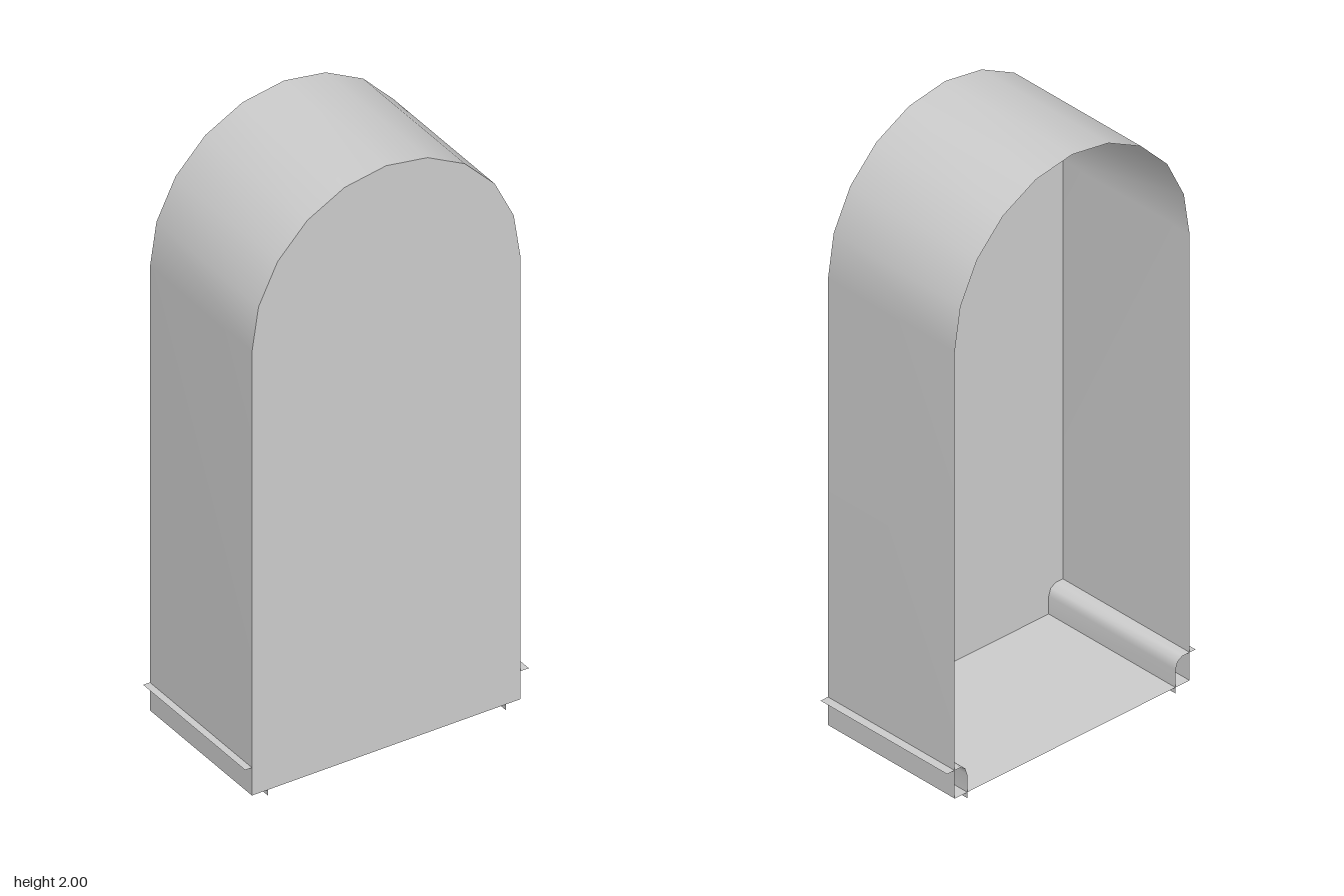
import * as THREE from 'three';

const DEPTH = 0.53, FLOOR_Y = 0.02, SPRING_Y = 1.53;
const CENTER_X = -0.003, RADIUS = 0.457, RISE = 0.47;

const grey = new THREE.MeshStandardMaterial({ color: 0xcccccc, side: THREE.DoubleSide });
grey.name = 'light grey';

// Sweeps an open outline of [x, y] points along z as a thin sheet
function sheet(name, points) {
  const geometry = new THREE.PlaneGeometry(1, 1, points.length - 1, 1);
  const position = geometry.attributes.position;
  for (let i = 0; i < position.count; i++) {
    const [x, y] = points[i % points.length];
    position.setXYZ(i, x, y, i < points.length ? -DEPTH / 2 : DEPTH / 2);
  }
  geometry.computeVertexNormals();
  const mesh = new THREE.Mesh(geometry, grey);
  mesh.name = name;
  return mesh;
}

export function createModel() {
  const model = new THREE.Group();
  model.name = 'archedShell';

  // Outline: straight sides joined by a ten-sided half round
  const left = CENTER_X - RADIUS, right = CENTER_X + RADIUS;
  const outline = [[left, FLOOR_Y]];
  for (let i = 0; i <= 10; i++) {
    const a = Math.PI * (1 - i / 10);
    outline.push([CENTER_X + RADIUS * Math.cos(a), SPRING_Y + RISE * Math.sin(a)]);
  }
  outline.push([right, FLOOR_Y]);

  // Side walls and arched roof, open at the back
  model.add(sheet('wallsAndRoof', outline));
  model.add(sheet('floor', [[right, FLOOR_Y], [left, FLOOR_Y]]));

  // Flat front panel
  const shape = new THREE.Shape(outline.map(([x, y]) => new THREE.Vector2(x, y)));
  const front = new THREE.Mesh(new THREE.ShapeGeometry(shape), grey);
  front.name = 'frontPanel';
  front.position.z = DEPTH / 2;
  model.add(front);

  // Bent rails that pass through the lower side walls and the floor
  const rail = [[0.483, 0.115], [0.432, 0.115], [0.413, 0.104], [0.405, 0.08], [0.405, 0]];
  for (const side of [1, -1]) {
    const points = rail.map(([x, y]) => [side * x, y]);
    if (side < 0) points.reverse();
    model.add(sheet(side > 0 ? 'leftRail' : 'rightRail', points));
  }
  return model;
}
